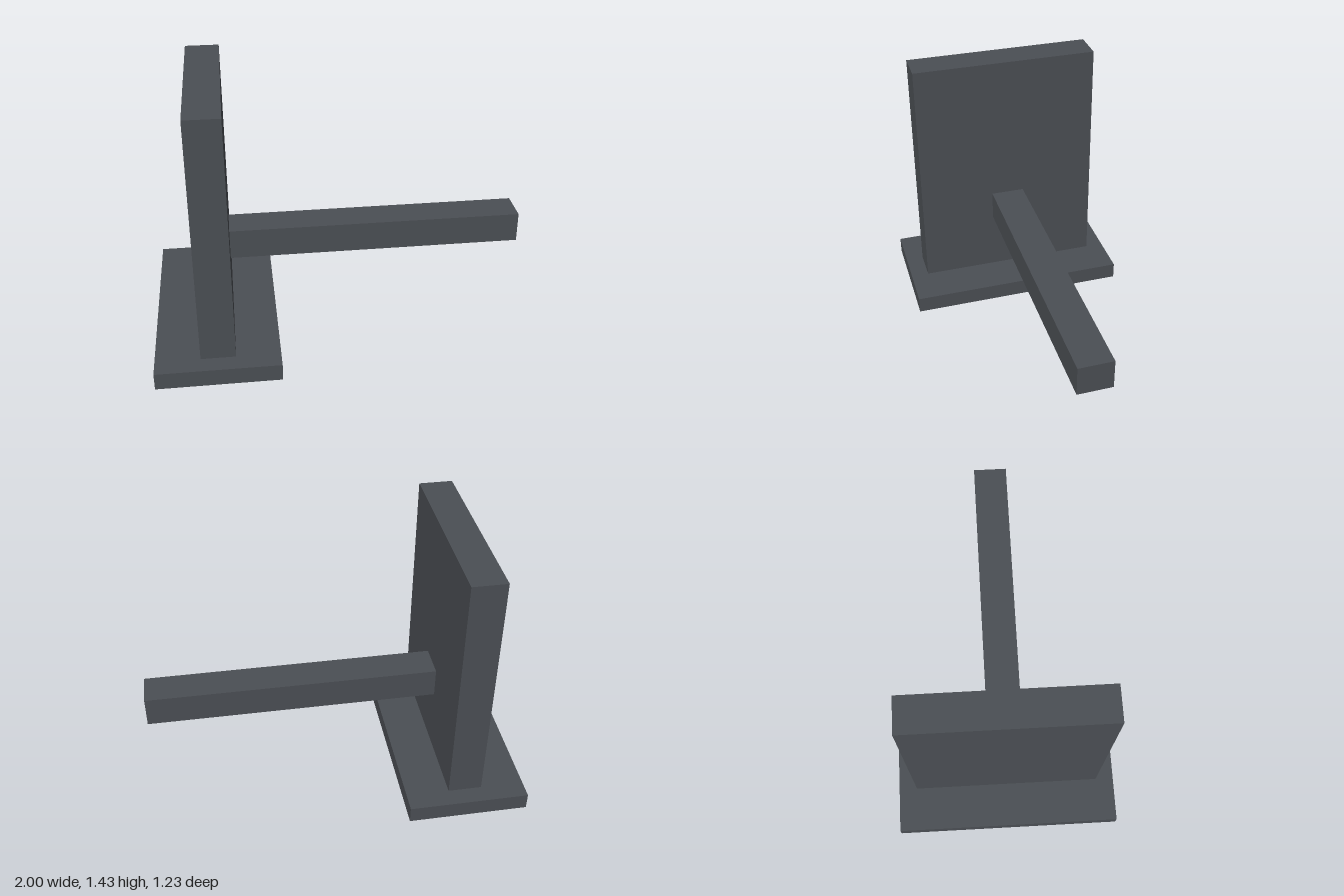
import * as THREE from 'three';

export function createModel() {
  const group = new THREE.Group();
  const material = new THREE.MeshStandardMaterial({ color: 0x4b4f54 });

  // Box given by its lower and upper corners
  function addBox(name, min, max) {
    const [w, h, d] = max.map((v, i) => v - min[i]);
    const mesh = new THREE.Mesh(new THREE.BoxGeometry(w, h, d), material);
    mesh.position.set(min[0] + w / 2, min[1] + h / 2, min[2] + d / 2);
    mesh.name = name;
    group.add(mesh);
  }

  // Flat foot, upright slab standing on it, and bar reaching out to the left
  addBox('basePlate', [-1, 0, -0.615], [-0.348, 0.093, 0.612]);
  addBox('uprightPanel', [-0.765, 0.093, -0.515], [-0.582, 1.428, 0.512]);
  addBox('horizontalBar', [-0.582, 0.433, -0.095], [1, 0.597, 0.092]);

  return group;
}
